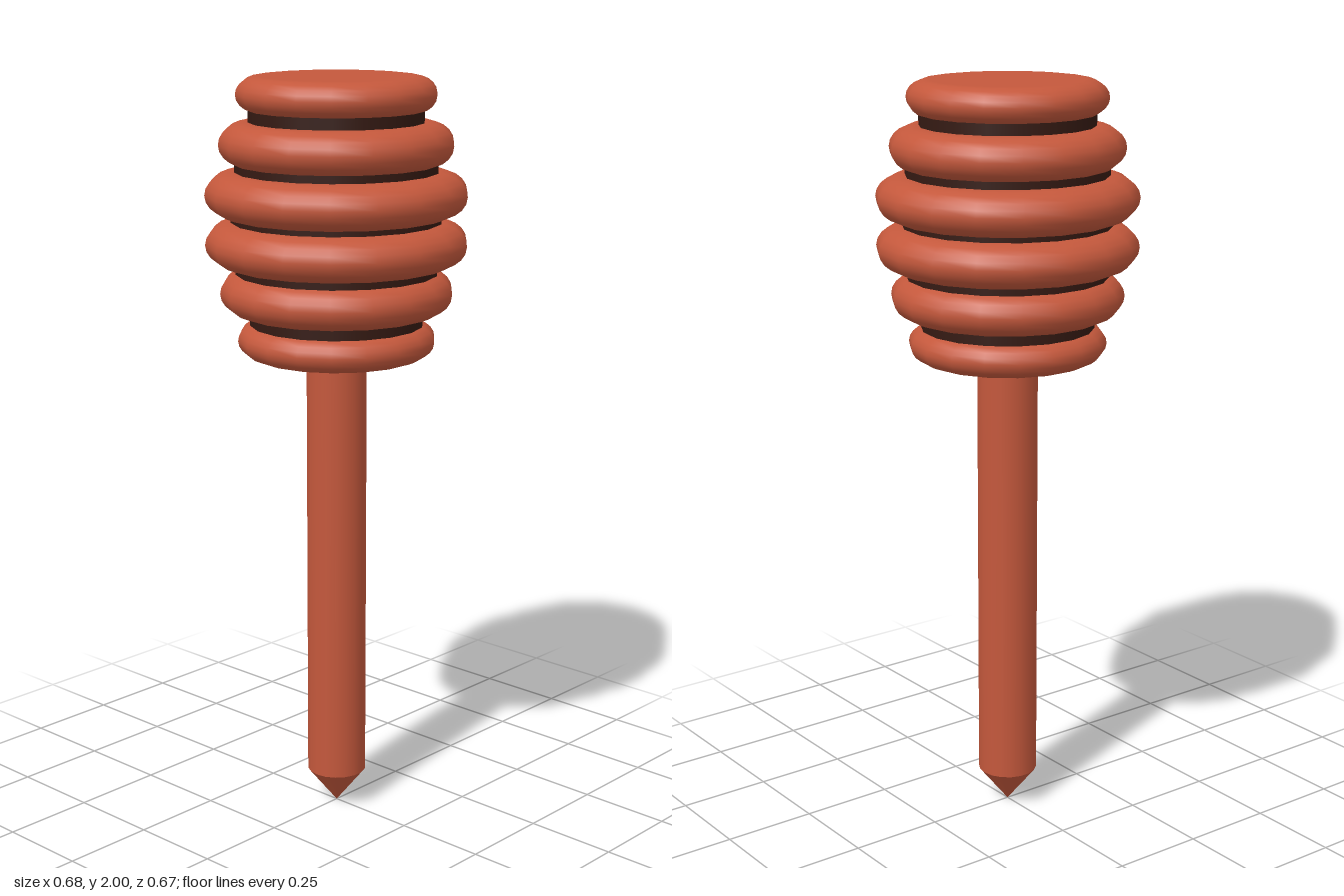
import * as THREE from 'three';

const SIDES = 18;
const wood = new THREE.MeshStandardMaterial({ color: 0xc4583c });
const darkWood = new THREE.MeshStandardMaterial({ color: 0x351a13 });

function add(group, name, geometry, material, y) {
  const mesh = new THREE.Mesh(geometry, material);
  mesh.name = name;
  mesh.position.y = y;
  group.add(mesh);
}

// Disc with an elliptical rim: outer radius, rim depth and half height
function discGeometry(outer, rim, half) {
  const flat = outer - rim;
  const points = [new THREE.Vector2(0, -half)];
  for (let i = 0; i <= 10; i++) {
    const a = -Math.PI / 2 + (i / 10) * Math.PI;
    points.push(new THREE.Vector2(flat + rim * Math.cos(a), half * Math.sin(a)));
  }
  points.push(new THREE.Vector2(0, half));
  return new THREE.LatheGeometry(points, SIDES, Math.PI / 2);
}

// Cylinder or cone with its first vertex on the x axis
function rodGeometry(top, bottom, height, open = false) {
  return new THREE.CylinderGeometry(top, bottom, height, SIDES, 1, open, Math.PI / 2);
}

export function createModel() {
  const group = new THREE.Group();
  group.name = 'honeyDipper';

  // Handle and its pointed end
  add(group, 'handle', rodGeometry(0.08, 0.08, 1.2), wood, 0.7);
  add(group, 'handleTip', rodGeometry(0.08, 0, 0.1, true), wood, 0.05);

  // Rounded discs of the head, mirrored about its middle
  const middle = 1.636;
  const discs = [
    [0.064, 0.342, 0.075, 0.058],
    [0.192, 0.305, 0.068, 0.056],
    [0.318, 0.26, 0.058, 0.046],
  ];
  for (const [offset, outer, rim, half] of discs) {
    for (const side of [1, -1]) {
      add(group, 'headDisc', discGeometry(outer, rim, half), wood, middle + side * offset);
    }
  }

  // Dark core showing in the grooves between the discs
  const grooves = [
    [0, 0.275],
    [0.128, 0.265],
    [0.26, 0.228],
  ];
  for (const [offset, radius] of grooves) {
    for (const side of offset ? [1, -1] : [1]) {
      add(group, 'grooveCore', rodGeometry(radius, radius, 0.06), darkWood, middle + side * offset);
    }
  }
  return group;
}
